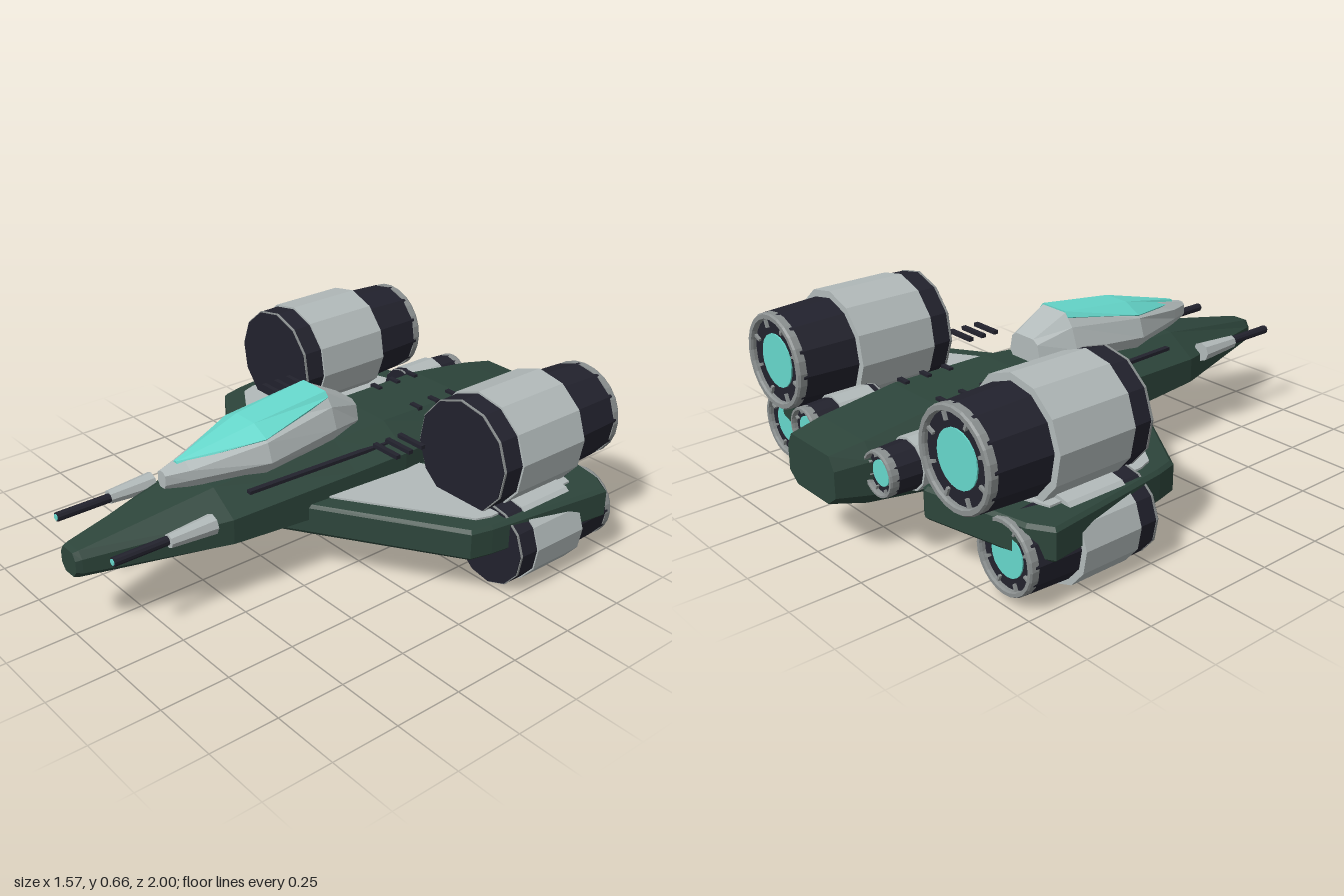
import * as THREE from 'three';

const paint = (name, color, side = THREE.FrontSide) => {
  const m = new THREE.MeshStandardMaterial({ color, side });
  m.flatShading = true;
  m.name = name;
  return m;
};

export function createModel() {
  const green = paint('hull green', 0x2d453b);
  const dark = paint('dark metal', 0x22222d);
  const light = paint('light grey', 0xb2baba);
  const rimGrey = paint('rim grey', 0x8b9090);
  const teal = paint('teal glow', 0x66d8cc);

  const model = new THREE.Group();
  model.name = 'spacecraft';

  const add = (parent, name, geo, mat, x = 0, y = 0, z = 0) => {
    const m = new THREE.Mesh(geo, mat);
    m.name = name;
    m.position.set(x, y, z);
    parent.add(m);
    return m;
  };
  const box = (parent, name, mat, w, h, d, x, y, z) =>
    add(parent, name, new THREE.BoxGeometry(w, h, d), mat, x, y, z);

  // Drum along z, from front z0 (radius r0) to back z1 (radius r1)
  const drum = (parent, name, mat, z0, z1, r0, r1, sides = 12, turn = 0) =>
    add(parent, name, new THREE.CylinderGeometry(r0, r1, z0 - z1, sides).rotateX(Math.PI / 2).rotateZ(turn),
      mat, 0, 0, (z0 + z1) / 2);

  // Closed skin over rings [z, [[x, y], ...]] running front to back;
  // each half ring goes up the +x side and is mirrored
  const loft = (sections) => {
    const rings = sections.map(([z, half]) => [
      ...half.map(([x, y]) => [x, y, z]),
      ...[...half].reverse().map(([x, y]) => [-x, y, z]),
    ]);
    const n = rings[0].length, pos = [];
    const tri = (...p) => p.forEach((v) => pos.push(...v));
    for (let i = 0; i < rings.length - 1; i++) {
      for (let j = 0; j < n; j++) {
        const k = (j + 1) % n;
        const a = rings[i][j], b = rings[i][k], c = rings[i + 1][k], d = rings[i + 1][j];
        tri(a, d, b);
        tri(b, d, c);
      }
    }
    const first = rings[0], last = rings[rings.length - 1];
    for (let j = 1; j < n - 1; j++) {
      tri(first[0], first[j], first[j + 1]);
      tri(last[0], last[j + 1], last[j]);
    }
    const g = new THREE.BufferGeometry();
    g.setAttribute('position', new THREE.Float32BufferAttribute(pos, 3));
    g.computeVertexNormals();
    return g;
  };

  // Flat slab from an (x, z) outline, between heights y0 and y1
  const slab = (points, y0, y1, bevel) => {
    const s = new THREE.Shape(points.map(([x, z]) => new THREE.Vector2(x, -z)));
    const g = new THREE.ExtrudeGeometry(s, {
      depth: y1 - y0 - 2 * bevel, bevelEnabled: bevel > 0, bevelSize: bevel,
      bevelThickness: bevel, bevelOffset: -bevel, bevelSegments: 1,
    });
    return g.rotateX(-Math.PI / 2).translate(0, y0 + bevel, 0);
  };

  // Fuselage: z, bottom (half width, y), side (half width, low y, high y), top (half width, y)
  const hull = [
    [1.0, 0.025, 0.235, 0.045, 0.26, 0.3, 0.03, 0.325],
    [0.98, 0.03, 0.23, 0.055, 0.255, 0.305, 0.035, 0.33],
    [0.5, 0.11, 0.19, 0.2, 0.245, 0.335, 0.09, 0.41],
    [0.0, 0.15, 0.17, 0.23, 0.225, 0.35, 0.11, 0.43],
    [-0.22, 0.165, 0.158, 0.245, 0.22, 0.36, 0.12, 0.442],
    [-0.6, 0.15, 0.158, 0.215, 0.22, 0.355, 0.125, 0.438],
    [-0.88, 0.12, 0.185, 0.165, 0.23, 0.345, 0.125, 0.4],
    [-1.0, 0.09, 0.21, 0.135, 0.245, 0.335, 0.11, 0.38],
  ].map(([z, wb, yb, w, y1, y2, wt, yt]) => [z, [[wb, yb], [w, y1], [w, y2], [wt, yt]]]);
  add(model, 'fuselage', loft(hull), green);

  // Canopy frame and glass
  add(model, 'canopyFrame', loft([
    [0.64, [[0.012, 0.42], [0.022, 0.435], [0.022, 0.47], [0.01, 0.48]]],
    [0.56, [[0.035, 0.41], [0.052, 0.44], [0.05, 0.475], [0.02, 0.498]]],
    [0.3, [[0.11, 0.40], [0.147, 0.455], [0.125, 0.522], [0.05, 0.558]]],
    [0.0, [[0.1, 0.42], [0.122, 0.475], [0.095, 0.55], [0.06, 0.595]]],
    [-0.135, [[0.06, 0.43], [0.08, 0.455], [0.068, 0.51], [0.045, 0.525]]],
  ]), light);
  add(model, 'canopyGlass', loft([
    [0.585, [[0.008, 0.48], [0.012, 0.49], [0.006, 0.5]]],
    [0.3, [[0.1, 0.51], [0.118, 0.532], [0.05, 0.566]]],
    [0.0, [[0.06, 0.56], [0.075, 0.582], [0.06, 0.6]]],
  ]), teal);

  // Belly hatch
  box(model, 'bellyHatch', dark, 0.2, 0.04, 0.22, 0, 0.15, -0.11);
  box(model, 'bellyHatchStep', dark, 0.17, 0.02, 0.18, 0, 0.135, -0.13);

  // Engine pod with glowing exhaust; z values: front, band start, band end, back
  const engine = (parent, name, x, y, r, rBack, zs, turn) => {
    const g = new THREE.Group();
    g.name = name;
    g.position.set(x, y, 0);
    parent.add(g);
    const [z0, z1, z2, z3] = zs;
    drum(g, 'intake', dark, z0, z1, r * 0.97, r * 0.98, 12, turn);
    drum(g, 'casing', light, z1, z2, r * 1.015, r * 1.015, 12, turn);
    drum(g, 'intakeLip', rimGrey, z0 + 0.002, z0 - 0.006, r * 0.98, r * 0.98, 12, turn);
    drum(g, 'intakeFace', dark, z0 + 0.005, z0, r * 0.96, r * 0.96, 12, turn);
    drum(g, 'rearCasing', dark, z2, z3 + 0.02, rBack * 1.06, rBack, 12, turn);
    const profile = [[0.86, 0.02], [1.0, 0.02], [1.0, -0.005], [0.97, -0.012], [0.88, -0.012], [0.86, -0.004], [0.86, 0.02]];
    add(g, 'exhaustRim', new THREE.LatheGeometry(
      profile.map(([k, h]) => new THREE.Vector2(k * rBack, h)).reverse(), 24).rotateX(Math.PI / 2), rimGrey, 0, 0, z3 + 0.012)
      .material = rimDouble;
    drum(g, 'exhaustGlow', teal, z3 + 0.022, z3 + 0.015, rBack * 0.56, rBack * 0.56, 20);
    for (let i = 0; i < 8; i++) {
      const a = (i + 0.5) * Math.PI / 4;
      const spoke = box(g, 'exhaustVane', rimGrey, rBack * 0.2, rBack * 0.06, 0.012,
        Math.cos(a) * rBack * 0.78, Math.sin(a) * rBack * 0.78, z3 + 0.016);
      spoke.rotation.z = a;
    }
  };
  const rimDouble = paint('rim grey', 0x8b9090, THREE.DoubleSide);

  // Everything paired, built on +x and -x
  for (const s of [1, -1]) {
    const half = new THREE.Group();
    half.name = s > 0 ? 'leftSide' : 'rightSide';
    model.add(half);
    const flip = (pts) => pts.map(([x, z]) => [x * s, z]);

    // Wing with grey upper panel
    add(half, 'wing', slab(flip([[0.1, 0.277], [0.69, -0.1], [0.71, -0.18], [0.78, -0.67],
      [0.7, -0.72], [0.32, -0.8], [0.3, -0.79], [0.22, -0.28], [0.1, -0.25]]), 0.175, 0.29, 0.012), green);
    add(half, 'wingPanel', slab(flip([[0.15, 0.165], [0.645, -0.165], [0.665, -0.22], [0.67, -0.6],
      [0.36, -0.7], [0.265, -0.3], [0.15, -0.25]]), 0.289, 0.297, 0), light);

    // Engines: large above the wing, medium at the tip, small beside the tail
    engine(half, 'upperEngine', s * 0.51, 0.458, 0.205, 0.172, [-0.22, -0.3, -0.6, -0.83], s * 0.08);
    engine(half, 'lowerEngine', s * 0.627, 0.16, 0.155, 0.128, [-0.255, -0.33, -0.555, -0.745], s * 0.08);
    engine(half, 'tailEngine', s * 0.215, 0.325, 0.088, 0.077, [-0.615, -0.642, -0.785, -0.9], 0);

    // Cooling rods between fuselage and upper engine
    for (const z of [-0.06, -0.117, -0.174]) box(half, 'coolingRod', dark, 0.12, 0.014, 0.018, s * 0.313, 0.45, z);

    // Dorsal vents
    for (const z of [-0.39, -0.48, -0.57]) box(half, 'dorsalVent', dark, 0.048, 0.014, 0.018, s * 0.108, 0.441, z);

    // Dark side seam
    const seam = box(half, 'sideSeam', dark, 0.02, 0.012, 0.62, s * 0.173, 0.39, 0.1);
    seam.rotation.y = -s * 0.04;

    // Nose cannon
    const gun = new THREE.Group();
    gun.name = 'cannon';
    gun.position.set(s * 0.175, 0.34, 0);
    half.add(gun);
    drum(gun, 'cannonBody', light, 0.74, 0.57, 0.024, 0.036, 8).position.x = s * 0.006;
    drum(gun, 'barrel', dark, 0.94, 0.73, 0.016, 0.016, 10);
    drum(gun, 'muzzle', teal, 0.943, 0.938, 0.011, 0.011, 10);

    // Belly rail
    drum(half, 'bellyRail', light, -0.06, -0.22, 0.008, 0.008, 8).position.set(s * 0.115, 0.125, -0.14);
    box(half, 'railMount', dark, 0.012, 0.05, 0.02, s * 0.115, 0.15, -0.14);
  }
  return model;
}
